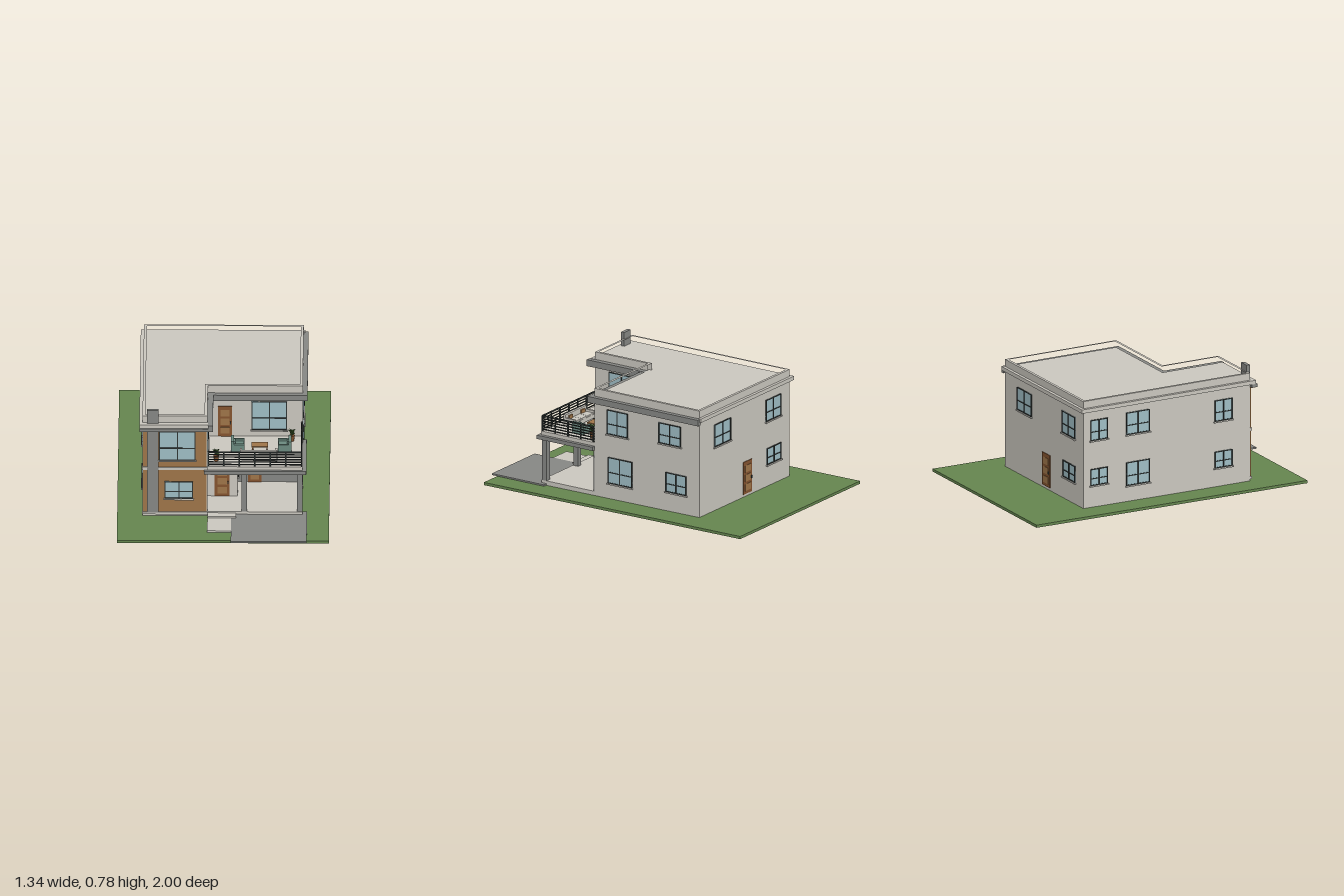
import * as THREE from 'three';

const mat = (name, color, side = THREE.FrontSide) => {
  const m = new THREE.MeshStandardMaterial({ color, side });
  m.name = name;
  return m;
};

export function createModel() {
  const root = new THREE.Group();
  root.name = 'house';
  const wall = mat('pale render', 0xcac7bf);
  const grey = mat('grey concrete', 0x868784);
  const timber = mat('timber cladding', 0x9f7549);
  const doorWood = mat('door wood', 0x84532f);
  const grass = mat('lawn green', 0x65854f);
  const dark = mat('dark metal', 0x2e3433);
  const glass = mat('window glass', 0x9fbdc5);
  const fabric = mat('sage fabric', 0x6b8a80);
  const leaf = mat('leaf green', 0x3f5f2c, THREE.DoubleSide);

  const add = (name, geo, m, parent = root) => {
    const mesh = new THREE.Mesh(geo, m);
    mesh.name = name;
    parent.add(mesh);
    return mesh;
  };
  // Box given by its limits on each axis
  const box = (name, m, x0, x1, y0, y1, z0, z1, parent = root) => {
    const mesh = add(name, new THREE.BoxGeometry(x1 - x0, y1 - y0, z1 - z0), m, parent);
    mesh.position.set((x0 + x1) / 2, (y0 + y1) / 2, (z0 + z1) / 2);
    return mesh;
  };
  const group = (name, x, y, z, ry = 0, parent = root) => {
    const g = new THREE.Group();
    g.name = name;
    g.position.set(x, y, z);
    g.rotation.y = ry;
    parent.add(g);
    return g;
  };

  // Grounds: the lawn falls slightly towards the front
  const lawn = box('lawn', grass, -0.67, 0.67, 0, 0.018, -1, 0.965);
  const lp = lawn.geometry.attributes.position;
  for (let i = 0; i < lp.count; i++) if (lp.getZ(i) < 0) lp.setY(i, lp.getY(i) + 0.012);
  lawn.geometry.computeVertexNormals();
  box('driveway', grey, 0.05, 0.53, 0.022, 0.032, 0.6, 1);
  box('frontPath', wall, -0.1, 0.05, 0.018, 0.032, 0.6, 0.86);
  box('entryStep', wall, -0.1, 0.08, 0.02, 0.042, 0.6, 0.69);
  box('porchFloor', wall, -0.1, 0.5, 0.02, 0.05, 0.2, 0.64);

  // L-shaped storeys, roof deck and parapet
  const footprint = (o) => [[-0.51 - o, 0.57 + o], [0.5 + o, 0.57 + o], [0.5 + o, -0.235 - o],
    [-0.1 + o, -0.235 - o], [-0.1 + o, -0.64 - o], [-0.51 - o, -0.64 - o]].map((p) => new THREE.Vector2(...p));
  const slab = (name, m, o, y0, y1, hole) => {
    const shape = new THREE.Shape(footprint(o));
    if (hole !== undefined) shape.holes.push(new THREE.Path(footprint(hole)));
    const geo = new THREE.ExtrudeGeometry(shape, { depth: y1 - y0, bevelEnabled: false });
    geo.rotateX(-Math.PI / 2).translate(0, y0, 0);
    return add(name, geo, m);
  };
  slab('houseWalls', wall, 0, 0.022, 0.69);
  slab('parapet', wall, 0, 0.69, 0.737, -0.018);

  // Roof ledges and grey cornices
  box('leftLedge', wall, -0.53, -0.51, 0.665, 0.69, -0.59, 0.672);
  box('rearLedge', wall, -0.53, 0.51, 0.665, 0.69, -0.59, -0.57);
  box('frontLedge', wall, -0.51, -0.095, 0.665, 0.69, 0.64, 0.672);
  box('wingCornice', grey, -0.53, -0.065, 0.645, 0.665, 0.64, 0.682);
  box('wingSideCornice', grey, -0.1, -0.065, 0.645, 0.687, 0.235, 0.64);
  box('wingCornerCornice', grey, -0.095, -0.065, 0.665, 0.687, 0.64, 0.682);
  box('balconyCornice', grey, -0.065, 0.53, 0.645, 0.685, 0.235, 0.268);
  box('rightCornice', grey, 0.5, 0.53, 0.645, 0.685, -0.58, 0.235);
  box('wingSoffit', timber, -0.525, -0.07, 0.642, 0.645, 0.64, 0.677);
  box('balconySoffit', timber, -0.065, 0.525, 0.642, 0.645, 0.235, 0.263);

  // Clad front of the wing, floor band and chimney slab
  box('frontCladding', timber, -0.508, -0.106, 0.05, 0.645, 0.63, 0.645);
  box('frontBand', wall, -0.512, -0.098, 0.354, 0.374, 0.63, 0.652);
  box('frontPlinth', wall, -0.512, -0.098, 0.035, 0.052, 0.63, 0.65);
  box('chimney', grey, -0.482, -0.41, 0.05, 0.782, 0.63, 0.654);

  // Porch: entry hall, grey wall and pillars
  box('entryHall', wall, -0.1, 0.09, 0.05, 0.35, 0.23, 0.43);
  box('porchBackWall', grey, 0.09, 0.5, 0.05, 0.35, 0.23, 0.241);
  for (const x of [0.115, 0.465]) box('porchPillar', grey, x, x + 0.035, 0.05, 0.326, 0.6, 0.635);

  // Balcony slab, ceiling and floor
  box('balconyEdge', grey, -0.12, 0.525, 0.326, 0.351, 0.232, 0.66);
  box('porchCeiling', timber, -0.11, 0.515, 0.322, 0.326, 0.235, 0.65);
  box('balconyFloor', wall, -0.1, 0.5, 0.351, 0.375, 0.23, 0.643);

  // Balcony railing
  const rail = group('railing', 0, 0, 0);
  for (let i = 0; i < 6; i++) {
    const y = 0.388 + i * 0.0175, t = i === 5 ? 0.005 : 0.003;
    box('frontRail', dark, -0.098, 0.497, y - t, y + t, 0.633, 0.639, rail);
    box('sideRail', dark, 0.491, 0.497, y - t, y + t, 0.237, 0.633, rail);
  }
  for (let i = 0; i < 7; i++) {
    const x = -0.095 + i * 0.0982;
    box('frontPost', dark, x - 0.004, x + 0.004, 0.375, 0.478, 0.632, 0.64, rail);
  }
  for (let i = 0; i < 4; i++) {
    const z = 0.245 + i * 0.098;
    box('sidePost', dark, 0.49, 0.498, 0.375, 0.478, z - 0.004, z + 0.004, rail);
  }

  // Windows and doors are built facing +z, then turned to their wall
  const place = { front: 0, right: Math.PI / 2, back: Math.PI, left: -Math.PI / 2 };
  const opening = (name, side, at, a0, a1, y0, y1) => {
    const mid = (a0 + a1) / 2, alongX = side === 'front' || side === 'back';
    return group(name, alongX ? mid : at, y0, alongX ? at : mid, place[side]);
  };
  const windowAt = (side, at, a0, a1, y0, y1) => {
    const g = opening('window', side, at, a0, a1, y0, y1);
    const w = Math.abs(a1 - a0) / 2, h = y1 - y0, f = 0.006, m = h * 0.42;
    box('pane', glass, -w, w, 0, h, -0.003, 0.003, g);
    for (const x of [-w + f / 2, 0, w - f / 2]) box('frameUpright', dark, x - f / 2, x + f / 2, 0, h, -0.002, 0.007, g);
    for (const y of [f / 2, m, h - f / 2]) box('frameBar', dark, -w, w, y - f / 2, y + f / 2, -0.002, 0.0065, g);
    box('sill', wall, -w - 0.006, w + 0.006, -0.008, 0, -0.002, 0.012, g);
  };
  const doorAt = (side, at, a0, a1, y0, y1) => {
    const g = opening('door', side, at, a0, a1, y0, y1);
    const w = Math.abs(a1 - a0) / 2, h = y1 - y0;
    box('doorFrame', doorWood, -w, w, 0, h, -0.003, 0.005, g);
    for (let i = 0; i < 3; i++) {
      const y = 0.02 + i * (h - 0.03) / 3;
      box('doorPanel', timber, -w + 0.016, w - 0.016, y, y + (h - 0.03) / 3 - 0.016, 0, 0.007, g);
    }
    box('doorHandle', dark, w - 0.012, w - 0.007, h * 0.42, h * 0.5, 0.004, 0.012, g);
  };
  [
    ['front', 0.645, -0.405, -0.175, 0.423, 0.63], ['front', 0.645, -0.37, -0.19, 0.148, 0.27],
    ['front', 0.235, 0.177, 0.4, 0.42, 0.625],
    ['right', -0.1, 0.34, 0.533, 0.42, 0.625], ['right', 0.09, 0.275, 0.382, 0.16, 0.265],
    ['right', 0.5, -0.024, 0.137, 0.452, 0.615], ['right', 0.5, -0.43, -0.26, 0.468, 0.605],
    ['right', 0.5, -0.056, 0.13, 0.126, 0.3], ['right', 0.5, -0.473, -0.313, 0.153, 0.283],
    ['left', -0.51, -0.52, -0.395, 0.468, 0.605], ['left', -0.51, -0.26, -0.09, 0.468, 0.615],
    ['left', -0.51, 0.38, 0.51, 0.455, 0.595], ['left', -0.51, -0.52, -0.395, 0.17, 0.28],
    ['left', -0.51, -0.26, -0.09, 0.13, 0.285], ['left', -0.51, 0.38, 0.51, 0.145, 0.255],
    ['back', -0.57, 0.153, 0.337, 0.45, 0.6], ['back', -0.57, -0.407, -0.238, 0.46, 0.605],
    ['back', -0.57, -0.41, -0.25, 0.17, 0.28],
  ].forEach((w) => windowAt(...w));
  [
    ['front', 0.235, -0.037, 0.052, 0.375, 0.59], ['front', 0.43, -0.055, 0.038, 0.05, 0.27],
    ['front', 0.241, 0.155, 0.238, 0.05, 0.27], ['back', -0.57, -0.083, 0.013, 0.045, 0.26],
  ].forEach((d) => doorAt(...d));

  // Entry wall lamps
  for (const x of [-0.067, 0.067]) {
    box('lampBack', dark, x - 0.006, x + 0.006, 0.285, 0.31, 0.43, 0.435);
    box('lampShade', wall, x - 0.004, x + 0.004, 0.289, 0.306, 0.435, 0.44);
  }

  // Balcony seats, built facing +z with the given half width
  const seat = (name, m, cushion, w, x, z, ry) => {
    const g = group(name, x, 0.375, z, ry), d = 0.042;
    box('base', m, -w, w, 0.008, 0.034, -d, d, g);
    box('backrest', m, -w, w, 0.034, 0.078, -d, -d + 0.018, g);
    for (const s of [-1, 1]) {
      box('arm', m, s * (w - 0.007) - 0.007, s * (w - 0.007) + 0.007, 0.034, 0.056, -d + 0.018, d, g);
      for (const fz of [-d + 0.006, d - 0.006]) box('foot', dark, s * (w - 0.006) - 0.004, s * (w - 0.006) + 0.004, 0, 0.008, fz - 0.004, fz + 0.004, g);
    }
    const n = w > 0.1 ? 3 : 1, cw = (2 * w - 0.032) / n;
    for (let i = 0; i < n; i++) {
      const c = -w + 0.016 + i * cw;
      box('seatCushion', m, c + 0.001, c + cw - 0.001, 0.034, 0.043, -d + 0.019, d - 0.002, g);
      if (i !== 1) box('pillow', cushion, c + cw * 0.2, c + cw * 0.8, 0.043, 0.066, -d + 0.018, -d + 0.027, g);
    }
  };
  seat('leftArmchair', fabric, fabric, 0.045, 0.09, 0.41, Math.PI / 2);
  seat('rightArmchair', fabric, fabric, 0.045, 0.387, 0.41, -Math.PI / 2);
  seat('sofa', wall, timber, 0.118, 0.223, 0.54, Math.PI);

  // Coffee table
  box('tableTop', timber, 0.178, 0.282, 0.404, 0.411, 0.38, 0.442);
  for (const x of [0.185, 0.275]) for (const z of [0.387, 0.435]) box('tableLeg', doorWood, x - 0.004, x + 0.004, 0.375, 0.404, z - 0.004, z + 0.004);

  // Potted plants with arching leaves
  for (const [x, z] of [[-0.045, 0.56], [0.432, 0.295]]) {
    const g = group('pottedPlant', x, 0.375, z);
    add('pot', new THREE.CylinderGeometry(0.018, 0.013, 0.04, 12), doorWood, g).position.y = 0.02;
    for (let i = 0; i < 14; i++) {
      const blade = new THREE.PlaneGeometry(0.014, 0.06, 2, 3).translate(0, 0.03, 0);
      const p = blade.attributes.position;
      for (let k = 0; k < p.count; k++) {
        const t = p.getY(k) / 0.06;
        p.setXYZ(k, p.getX(k) * (0.3 + 1.2 * Math.sin(Math.PI * t)), t * (0.045 + 0.016 * (i % 3)) - 0.025 * t * t, t * t * (i % 2 ? 0.026 : 0.017));
      }
      blade.computeVertexNormals();
      const l = add('leaf', blade, leaf, g);
      l.position.y = 0.036;
      l.rotation.y = i * 2.4;
    }
  }
  return root;
}
